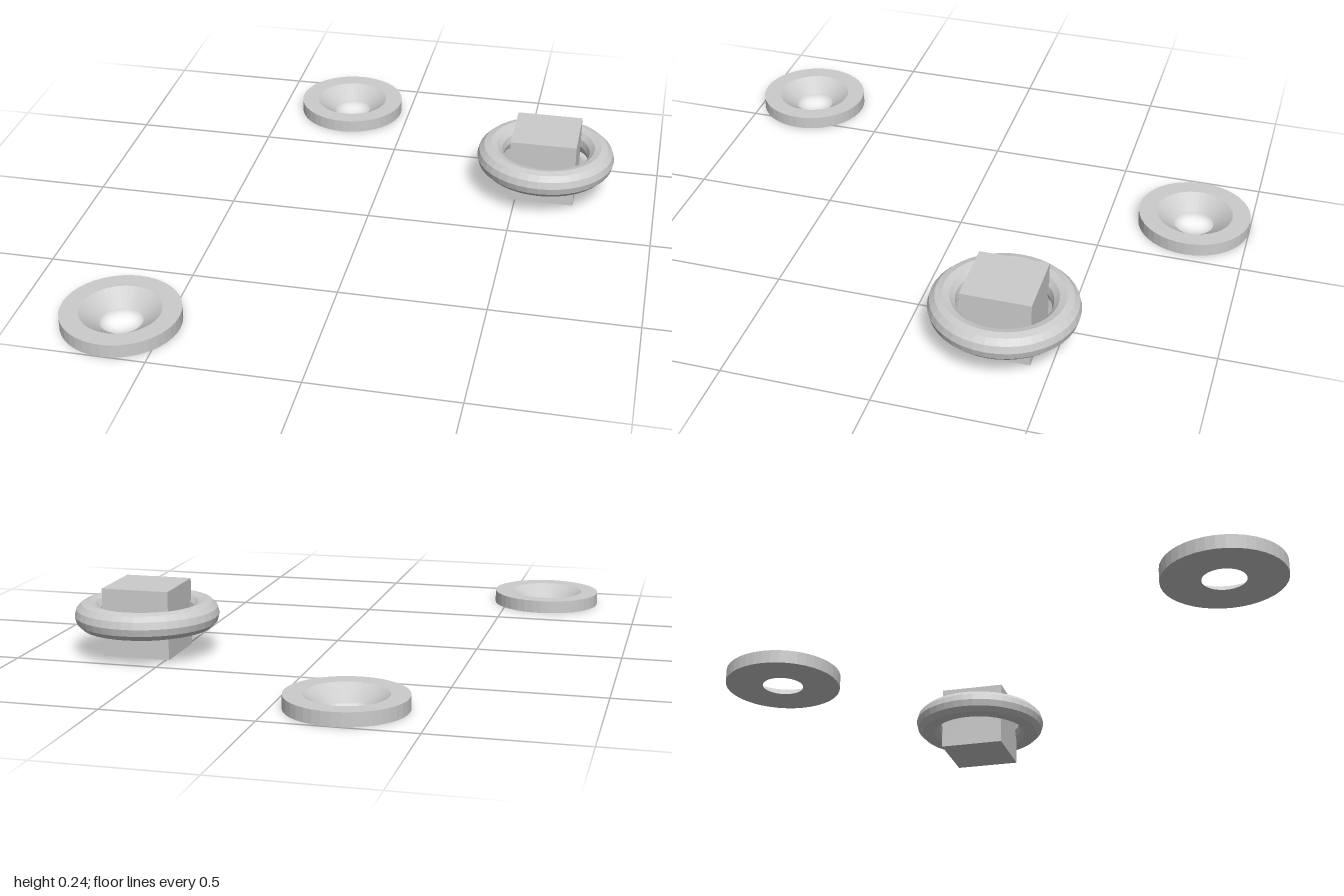
import * as THREE from 'three';

const material = new THREE.MeshStandardMaterial({ color: 0xcccccc, flatShading: true });

function addPart(group, name, geometry, x, y, z) {
  const mesh = new THREE.Mesh(geometry, material);
  mesh.name = name;
  mesh.position.set(x, y, z);
  group.add(mesh);
  return mesh;
}

// Flat ring with a countersunk hole, narrow at the bottom
function washerGeometry() {
  const profile = [[0.07, 0], [0.198, 0], [0.198, 0.046], [0.135, 0.046], [0.07, 0]];
  return new THREE.LatheGeometry(profile.map(([r, y]) => new THREE.Vector2(r, y)), 40);
}

export function createModel() {
  const model = new THREE.Group();
  model.name = 'washersAndRing';

  // Two countersunk washers lying on the ground
  const washer = washerGeometry();
  addPart(model, 'frontWasher', washer, -0.646, 0, 0.802);
  addPart(model, 'backWasher', washer, -0.23, 0, -0.802);

  // Cube held inside a round ring
  const ringedCube = new THREE.Group();
  ringedCube.name = 'ringedCube';
  ringedCube.position.set(0.594, 0, -0.319);
  addPart(ringedCube, 'cube', new THREE.BoxGeometry(0.235, 0.235, 0.235), 0, 0.127, 0);
  const ring = new THREE.TorusGeometry(0.2, 0.048, 12, 40).rotateX(-Math.PI / 2);
  addPart(ringedCube, 'ring', ring, 0, 0.139, 0);
  model.add(ringedCube);

  return model;
}
